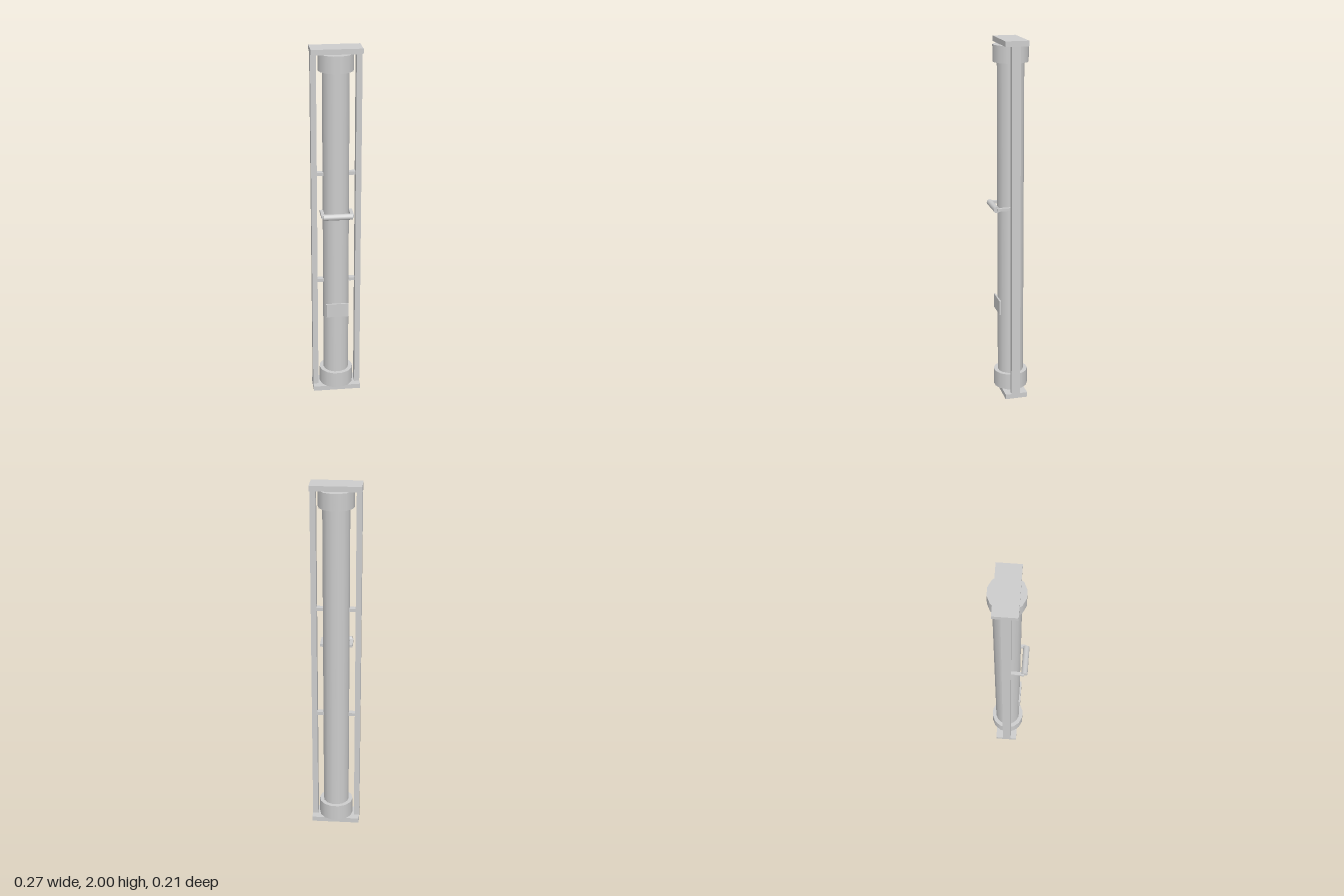
import * as THREE from 'three';

export function createModel() {
  const model = new THREE.Group();
  const grey = new THREE.MeshStandardMaterial({ color: 0xcccccc });
  grey.name = 'lightGrey';
  const CZ = -0.0125; // depth of the tube's axis

  const add = (name, geometry, x, y, z) => {
    const mesh = new THREE.Mesh(geometry, grey);
    mesh.name = name;
    mesh.position.set(x, y, z);
    model.add(mesh);
    return mesh;
  };
  const box = (name, w, h, d, x, y, z) => add(name, new THREE.BoxGeometry(w, h, d), x, y, z);
  // Upright 14-sided drum with its flats facing front and back
  const drum = (name, r, y0, y1) => {
    const geometry = new THREE.CylinderGeometry(r, r, y1 - y0, 14).rotateY(Math.PI / 2);
    return add(name, geometry, 0, (y0 + y1) / 2, CZ);
  };

  // Tube with a collar at each end
  drum('tube', 0.072, 0.035, 1.965);
  drum('bottomCollar', 0.095, 0.035, 0.127);
  drum('topCollar', 0.095, 1.88, 1.97);

  // End plates
  box('bottomPlate', 0.27, 0.028, 0.125, 0, 0.014, CZ);
  box('topPlate', 0.27, 0.028, 0.125, 0, 1.986, CZ);

  // Side rails, their spacers and the handle arms
  for (const [side, s] of [['left', 1], ['right', -1]]) {
    box(side + 'Rail', 0.03, 1.944, 0.048, s * 0.12, 1, -0.0085);
    for (const y of [0.688, 1.317]) box(side + 'Spacer', 0.042, 0.018, 0.03, s * 0.086, y, CZ);
    box(side + 'HandleArm', 0.018, 0.016, 0.095, s * 0.079, 1.1, 0.0355);
  }

  // Handle grip across the front
  add('handleGrip', new THREE.CylinderGeometry(0.017, 0.017, 0.16, 14).rotateZ(Math.PI / 2), 0, 1.1, 0.0845);

  // Flat name plate on the lower front
  box('frontPlate', 0.126, 0.08, 0.009, 0, 0.526, 0.0615);

  return model;
}
